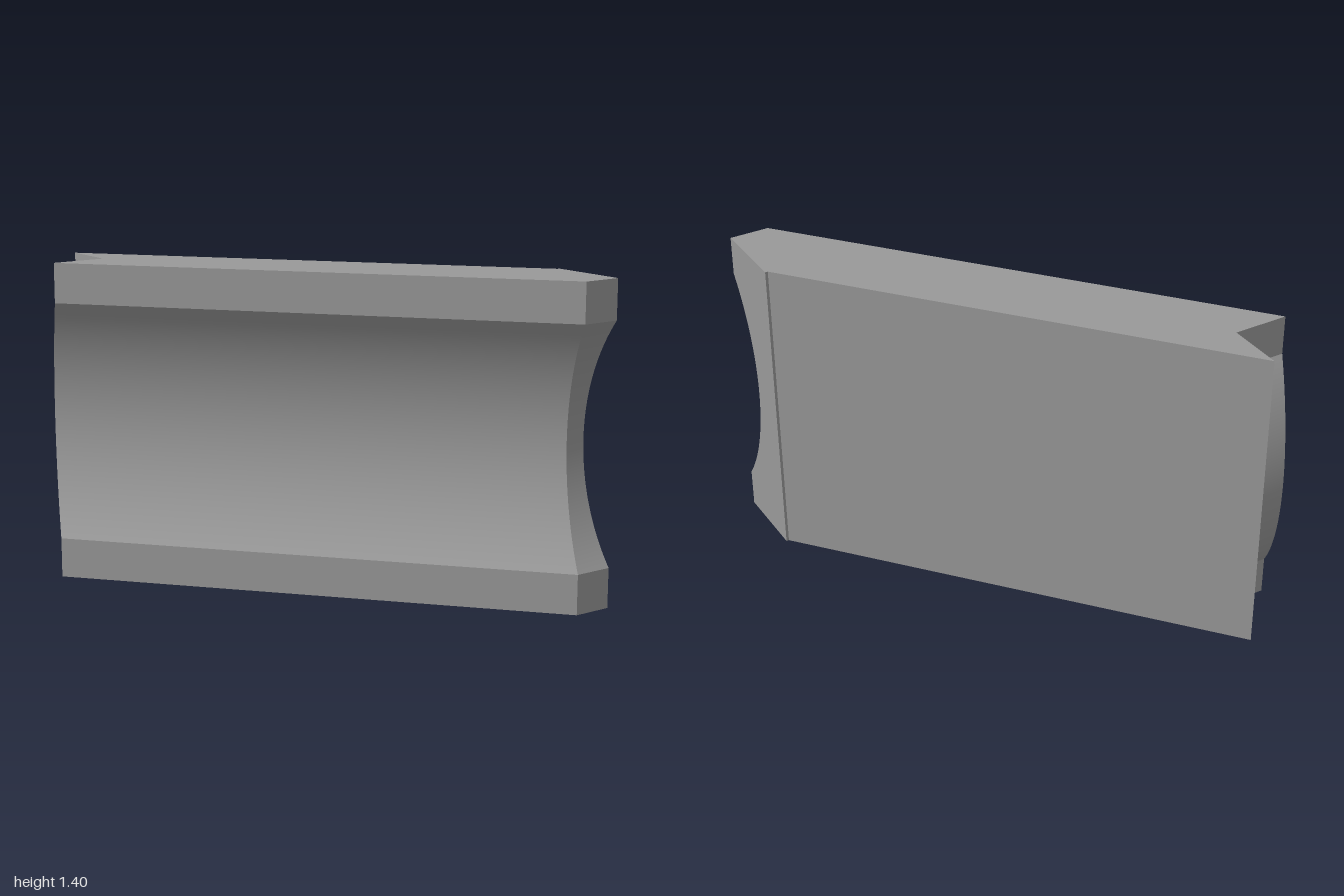
import * as THREE from 'three';
import { mergeGeometries } from 'three/addons/utils/BufferGeometryUtils.js';

const HEIGHT = 1.4, MID = 0.7, HALF = 0.525, RADIUS = 0.875;

// Plan outline, counter-clockwise from above: [x, z, x shift, z shift] at full groove depth
const OUTLINE = [
  [-0.82, -0.75, 0.08, -0.175], // far mitre
  [0.645, 1, 0.08, -0.175], // near mitre
  [0.82, 1, 0, -0.175],
  [0.82, 0.65, 0, 0],
  [0.808, 0.65, 0, 0],
  [-0.577, -1, 0, 0],
  [-0.577, -0.75, 0, -0.175],
];

// Groove depth at a height, as a fraction of its full depth
function depth(y) {
  const dy = Math.abs(y - MID);
  return dy >= HALF ? 0 : (Math.sqrt(RADIUS * RADIUS - dy * dy) - 0.7) / 0.175;
}

// Strip of wall between two outline corners through the given heights
function wall(a, b, heights) {
  const positions = [], indices = [];
  heights.forEach((y, i) => {
    const d = depth(y);
    for (const p of [a, b]) positions.push(p[0] + p[2] * d, y, p[1] + p[3] * d);
    if (i > 0) {
      const k = i * 2 - 2;
      indices.push(k, k + 1, k + 3, k, k + 3, k + 2);
    }
  });
  const g = new THREE.BufferGeometry();
  g.setAttribute('position', new THREE.Float32BufferAttribute(positions, 3));
  g.setIndex(indices);
  g.computeVertexNormals();
  return g;
}

// Flat end with the plan outline
function cap(y, up) {
  const shape = new THREE.Shape(OUTLINE.map(p => new THREE.Vector2(p[0], up ? -p[1] : p[1])));
  const g = new THREE.ShapeGeometry(shape);
  g.rotateX(up ? -Math.PI / 2 : Math.PI / 2).translate(0, y, 0);
  g.deleteAttribute('uv');
  return g;
}

export function createModel() {
  const group = new THREE.Group();
  const material = new THREE.MeshStandardMaterial({ color: 0x999999 });
  const add = (name, parts) => {
    const mesh = new THREE.Mesh(mergeGeometries(parts), material);
    mesh.name = name;
    group.add(mesh);
  };

  // Heights through the arc, spaced by equal angles
  const N = 48, sweep = Math.asin(HALF / RADIUS);
  const arc = Array.from({ length: N + 1 }, (_, i) =>
    MID + RADIUS * Math.sin(sweep * (2 * i / N - 1)));

  const walls = heights => OUTLINE.map((p, i) => wall(p, OUTLINE[(i + 1) % OUTLINE.length], heights));
  add('lowerRail', [...walls([0, MID - HALF]), cap(0, false)]);
  add('groovedBody', walls(arc));
  add('upperRail', [...walls([MID + HALF, HEIGHT]), cap(HEIGHT, true)]);
  return group;
}
